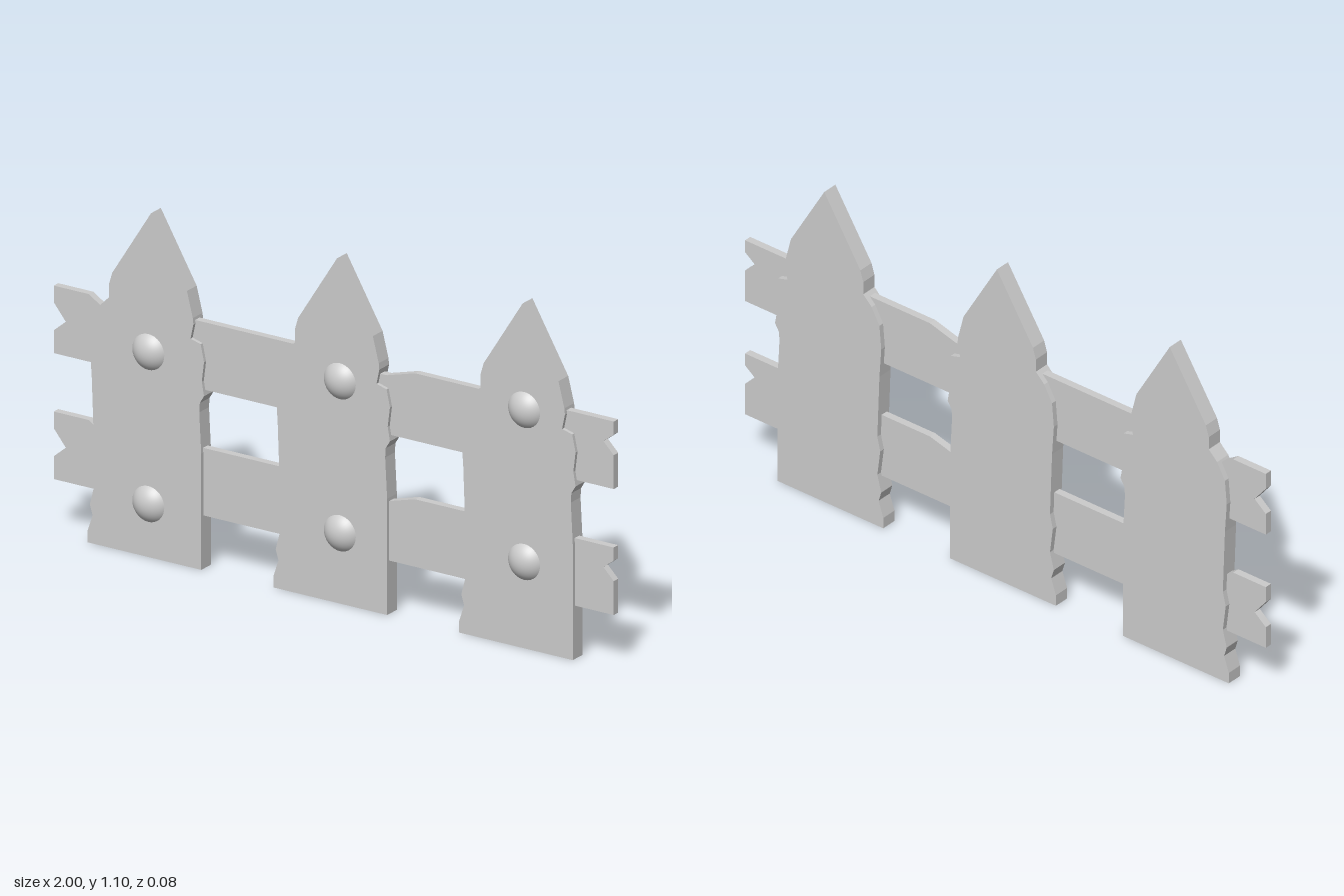
import * as THREE from 'three';

const material = new THREE.MeshStandardMaterial({ color: 0xcccccc, flatShading: true });
const smooth = new THREE.MeshStandardMaterial({ color: 0xcccccc });

// Flat board cut from an outline, spanning back..front in z
function board(outline, back, front) {
  const shape = new THREE.Shape(outline.map(([x, y]) => new THREE.Vector2(x, y)));
  const geometry = new THREE.ExtrudeGeometry(shape, { depth: front - back, bevelEnabled: false });
  return geometry.translate(0, 0, back);
}

// Shallow domed nail head: a spherical cap facing +z
function nailHead(radius, height) {
  const R = (radius * radius + height * height) / (2 * height);
  const cap = new THREE.SphereGeometry(R, 32, 10, 0, Math.PI * 2, 0, Math.asin(radius / R));
  return cap.translate(0, height - R, 0).rotateX(Math.PI / 2);
}

function add(parent, name, geometry, mat, x, y, z = 0) {
  const mesh = new THREE.Mesh(geometry, mat);
  mesh.name = name;
  mesh.position.set(x, y, z);
  parent.add(mesh);
}

export function createModel() {
  const fence = new THREE.Group();
  fence.name = 'picketFence';

  // Pointed picket with chipped edges, counter-clockwise
  const picket = board([
    [-0.208, 0], [0.198, 0], [0.198, 0.37], [0.191, 0.5], [0.193, 0.53],
    [0.208, 0.555], [0.2, 0.6], [0.208, 0.663], [0.196, 0.718], [0.16, 0.728],
    [0.17, 0.775], [0.168, 0.795], [0.147, 0.877], [0.019, 1.097],
    [-0.12, 0.877], [-0.131, 0.84], [-0.131, 0.797], [-0.163, 0.765],
    [-0.193, 0.711], [-0.2, 0.63], [-0.193, 0.53], [-0.185, 0.315],
    [-0.196, 0.267], [-0.185, 0.18], [-0.2, 0.123], [-0.19, 0.09], [-0.208, 0.037],
  ], -0.039, 0.013);

  // Rail with notched ends and dips in its top edge
  const rail = board([
    [-1, 0], [1, 0], [1, 0.108], [0.963, 0.145], [1, 0.173], [1, 0.215],
    [0.29, 0.215], [0.19, 0.187], [0.12, 0.187], [0.06, 0.215],
    [-0.7, 0.215], [-0.77, 0.184], [-0.826, 0.184], [-0.875, 0.215],
    [-1, 0.215], [-1, 0.162], [-0.957, 0.109], [-1, 0.073],
  ], -0.022, 0.002);

  add(fence, 'lowerRail', rail, material, 0, 0.17);
  add(fence, 'upperRail', rail, material, 0, 0.571);

  // Three pickets, each with two nails that step upward along the fence
  const nail = nailHead(0.058, 0.029);
  const layout = [
    { x: -0.664, nailX: -0.655, nailY: 0.169 },
    { x: 0, nailX: 0.029, nailY: 0.224 },
    { x: 0.663, nailX: 0.687, nailY: 0.275 },
  ];
  for (const { x, nailX, nailY } of layout) {
    add(fence, 'picket', picket, material, x, 0);
    add(fence, 'lowerNail', nail, smooth, nailX, nailY, 0.012);
    add(fence, 'upperNail', nail, smooth, nailX, nailY + 0.484, 0.012);
  }
  return fence;
}
